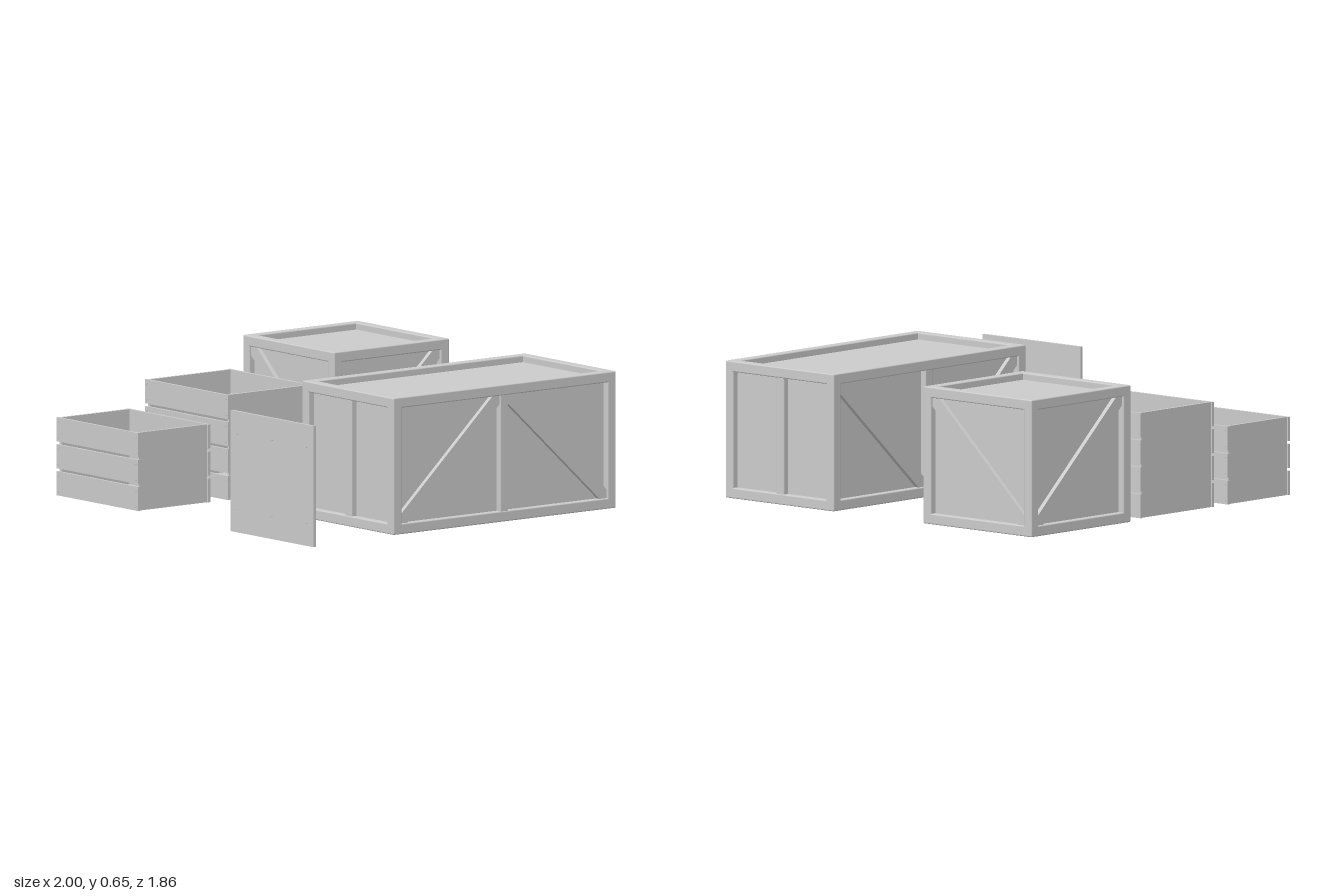
import * as THREE from 'three';
import { RoundedBoxGeometry } from 'three/addons/geometries/RoundedBoxGeometry.js';

const mat = new THREE.MeshStandardMaterial({ color: 0xcccccc, roughness: 0.8 });
const BEAM = 0.05;    // frame beam thickness
const RECESS = 0.032; // depth of the panels behind the frame

function add(parent, name, geometry, x = 0, y = 0, z = 0) {
  const mesh = new THREE.Mesh(geometry, mat);
  mesh.name = name;
  mesh.position.set(x, y, z);
  parent.add(mesh);
  return mesh;
}
const box = (w, h, d) => new THREE.BoxGeometry(w, h, d);
const beam = (w, h, d) => new RoundedBoxGeometry(w, h, d, 2, 0.006);

// Small round nail head pointing along z
function nail(parent, x, y, z) {
  const g = new THREE.CylinderGeometry(0.004, 0.004, 0.006, 8).rotateX(Math.PI / 2);
  add(parent, 'nail', g, x, y, z);
}

// Diagonal board whose ends are trimmed to the corners of its bay
function brace(parent, cx, w, h, rising, z) {
  const a = w / 2, b = h / 2, c = 0.042, s = rising ? 1 : -1;
  const pts = [[-a, -b], [-a + c, -b], [a, b - c], [a, b], [a - c, b], [-a, -b + c]]
    .map(([x, y]) => new THREE.Vector2(x * s, y));
  const g = new THREE.ExtrudeGeometry(new THREE.Shape(pts), { depth: RECESS - 0.01, bevelEnabled: false });
  add(parent, 'diagonalBrace', g, cx, 0, z);
}

// Framed crate; each entry of sides lists the diagonals (1 rising, -1 falling, 0 none) of its bays
function framedCrate(name, w, h, d, sides) {
  const crate = new THREE.Group();
  crate.name = name;
  add(crate, 'panels', box(w - 2 * RECESS, h - 2 * RECESS, d - 2 * RECESS));

  // Twelve frame beams
  const X = (w - BEAM) / 2, Y = (h - BEAM) / 2, Z = (d - BEAM) / 2;
  for (const i of [-1, 1]) for (const j of [-1, 1]) {
    add(crate, 'cornerPost', beam(BEAM, h, BEAM), i * X, 0, j * Z);
    add(crate, 'crossRail', beam(w, BEAM, BEAM), 0, i * Y, j * Z);
    add(crate, 'sideRail', beam(BEAM, BEAM, d), i * X, j * Y, 0);
  }

  // Braces and middle posts, side by side: front, right, back, left
  sides.forEach((bays, k) => {
    const face = new THREE.Group();
    face.name = ['front', 'right', 'back', 'left'][k] + 'Face';
    face.rotation.y = k * Math.PI / 2;
    crate.add(face);
    const faceW = k % 2 ? d : w, out = (k % 2 ? w : d) / 2;
    const n = bays.length, inner = faceW - 2 * BEAM, innerH = h - 2 * BEAM;
    const bayW = (inner - (n - 1) * BEAM) / n;
    bays.forEach((dir, i) => {
      const cx = -inner / 2 + bayW / 2 + i * (bayW + BEAM);
      if (dir) brace(face, cx, bayW, innerH, dir > 0, out - RECESS);
      if (i > 0) add(face, 'middlePost', beam(BEAM, innerH + 0.01, RECESS + 0.01),
        cx - (bayW + BEAM) / 2, 0, out - (RECESS + 0.01) / 2 - 0.003);
    });
  });
  return crate;
}

// Open box: solid ends, spaced slats at front and back, slatted or solid base
function slatBox(name, w, d, rows, baseSlats) {
  const T = 0.014, pitch = 0.128, gap = 0.014, slatH = pitch - gap;
  const h = rows * pitch - gap + 0.008;
  const g = new THREE.Group();
  g.name = name;
  for (const s of [-1, 1]) {
    add(g, 'endPanel', box(T, h - 0.008, d - 2 * T), s * (w / 2 - T), h / 2, 0);
    for (let i = 0; i < rows; i++) {
      const y = 0.004 + slatH / 2 + i * pitch;
      add(g, 'wallSlat', box(w, slatH, T), 0, y, s * (d / 2 - T / 2));
      for (const e of [-1, 1]) for (const v of [-1, 1])
        nail(g, e * (w / 2 - T), y + v * 0.038, s * (d / 2 + 0.001));
    }
  }
  const gapZ = baseSlats > 1 ? 0.012 : 0;
  const innerD = d - 2 * T, slatD = (innerD - gapZ * (baseSlats - 1)) / baseSlats;
  for (let i = 0; i < baseSlats; i++)
    add(g, 'baseBoard', box(w - 2 * T, T, slatD), 0, 0.004 + T / 2,
      -innerD / 2 + slatD / 2 + i * (slatD + gapZ));
  return g;
}

export function createModel() {
  const model = new THREE.Group();
  model.name = 'crateSet';
  const place = (part, x, y, z) => { part.position.set(x, y, z); model.add(part); };

  place(framedCrate('cubeCrate', 0.69, 0.65, 0.69, [[-1], [1], [-1], [1]]), -0.653, 0.325, -0.583);
  place(framedCrate('longCrate', 0.69, 0.65, 1.335, [[0, 0], [1, -1], [0, 0], [-1, 1]]), 0.606, 0.325, -0.26);
  place(slatBox('tallSlatBox', 0.625, 0.51, 4, 4), -0.656, 0, 0.117);
  place(slatBox('lowSlatBox', 0.615, 0.435, 3, 1), -0.656, 0, 0.69);

  // Loose lid standing on its edge
  const lid = new THREE.Group();
  lid.name = 'looseLid';
  add(lid, 'lidBoard', box(0.625, 0.575, 0.015), 0, 0.2875, 0);
  for (const x of [-0.26, 0, 0.26]) for (const y of [0.11, 0.47]) nail(lid, x, y, 0.008);
  place(lid, 0.6875, 0, 0.92);
  return model;
}
